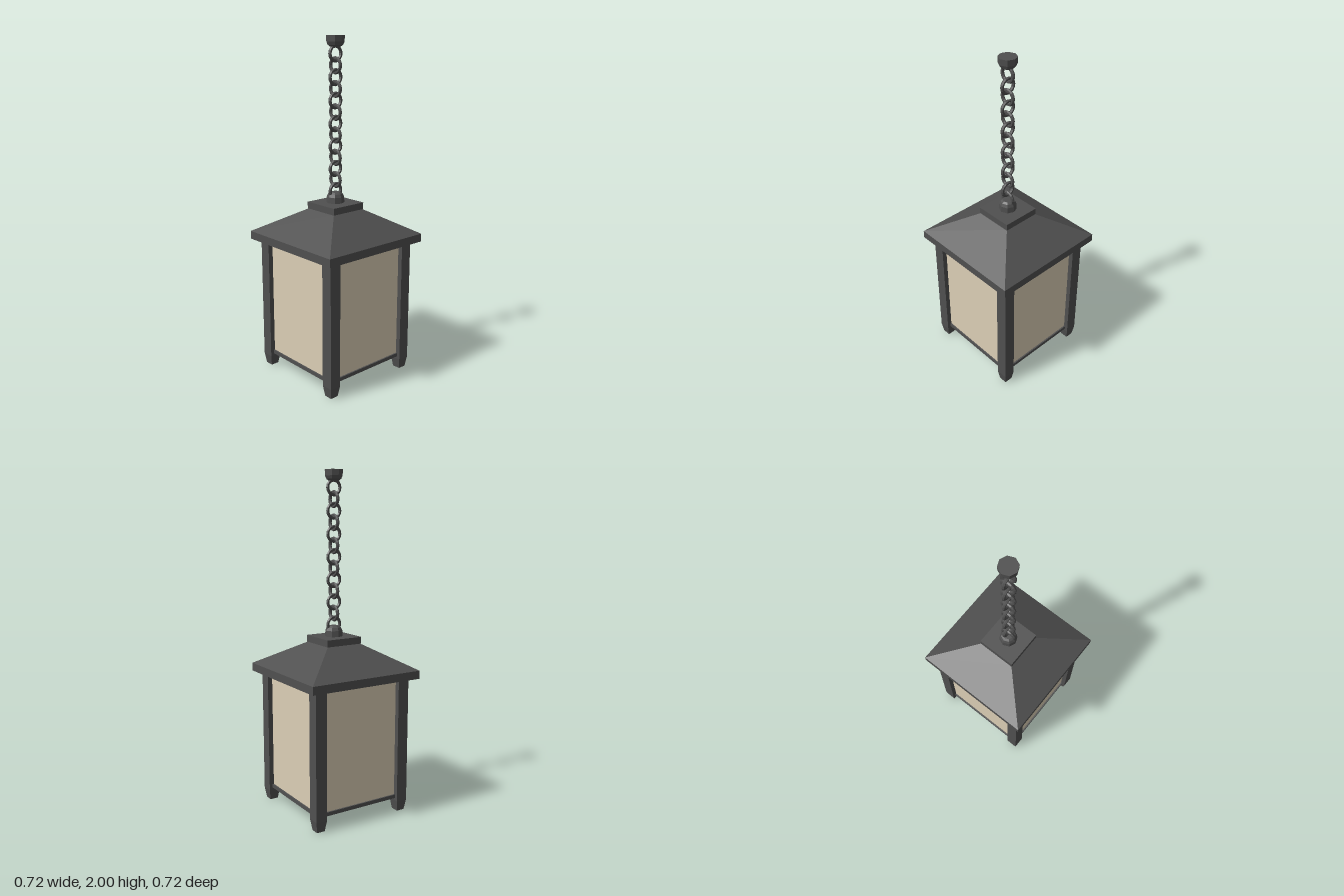
import * as THREE from 'three';

const metal = new THREE.MeshStandardMaterial({ color: 0x505050, flatShading: true });
const glass = new THREE.MeshStandardMaterial({ color: 0xdccfb6, side: THREE.DoubleSide });

function add(parent, name, geometry, material, x = 0, y = 0, z = 0) {
  const mesh = new THREE.Mesh(geometry, material);
  mesh.name = name;
  mesh.position.set(x, y, z);
  parent.add(mesh);
  return mesh;
}

// Square frustum standing on y = 0, given half widths
function frustum(top, bottom, height) {
  const g = new THREE.CylinderGeometry(top * Math.SQRT2, bottom * Math.SQRT2, height, 4);
  return g.rotateY(Math.PI / 4).translate(0, height / 2, 0);
}

export function createModel() {
  const model = new THREE.Group();
  model.name = 'hangingLantern';

  // Corner posts with tapered feet
  for (const x of [-0.28, 0.28]) {
    for (const z of [-0.28, 0.28]) {
      const post = new THREE.Group();
      post.name = 'cornerPost';
      post.position.set(x, 0, z);
      add(post, 'postFoot', frustum(0.035, 0.025, 0.065), metal);
      add(post, 'postShaft', frustum(0.035, 0.035, 0.75), metal, 0, 0.065);
      model.add(post);
    }
  }

  // Four sides: pane and bottom rail, open underneath
  for (let i = 0; i < 4; i++) {
    const side = new THREE.Group();
    side.name = 'lanternSide';
    side.rotation.y = i * Math.PI / 2;
    add(side, 'pane', new THREE.BoxGeometry(0.5, 0.72, 0.012), glass, 0, 0.455, 0.28);
    add(side, 'bottomRail', new THREE.BoxGeometry(0.5, 0.022, 0.03), metal, 0, 0.09, 0.28);
    model.add(side);
  }

  // Roof
  add(model, 'eave', new THREE.BoxGeometry(0.72, 0.048, 0.72), metal, 0, 0.835);
  add(model, 'roofSlope', frustum(0.11, 0.36, 0.147), metal, 0, 0.859);
  add(model, 'roofCap', new THREE.BoxGeometry(0.232, 0.04, 0.232), metal, 0, 1.025);

  // Eight-sided chain mounts, the upper one inverted
  const profile = [[0, 0], [0.053, 0], [0.051, 0.035], [0.043, 0.053], [0.03, 0.062], [0, 0.062]]
    .map(([r, y]) => new THREE.Vector2(r, y));
  const mount = new THREE.LatheGeometry(profile, 8);
  add(model, 'lowerMount', mount, metal, 0, 1.045);
  add(model, 'upperMount', mount, metal, 0, 2).rotation.x = Math.PI;

  // Interlocked chain links, alternating planes
  const link = new THREE.TorusGeometry(0.041, 0.01, 6, 16);
  for (let i = 0; i < 13; i++) {
    add(model, 'chainLink', link, metal, 0, 1.116 + i * 0.0654).rotation.y = (i % 2) * Math.PI / 2;
  }
  return model;
}
